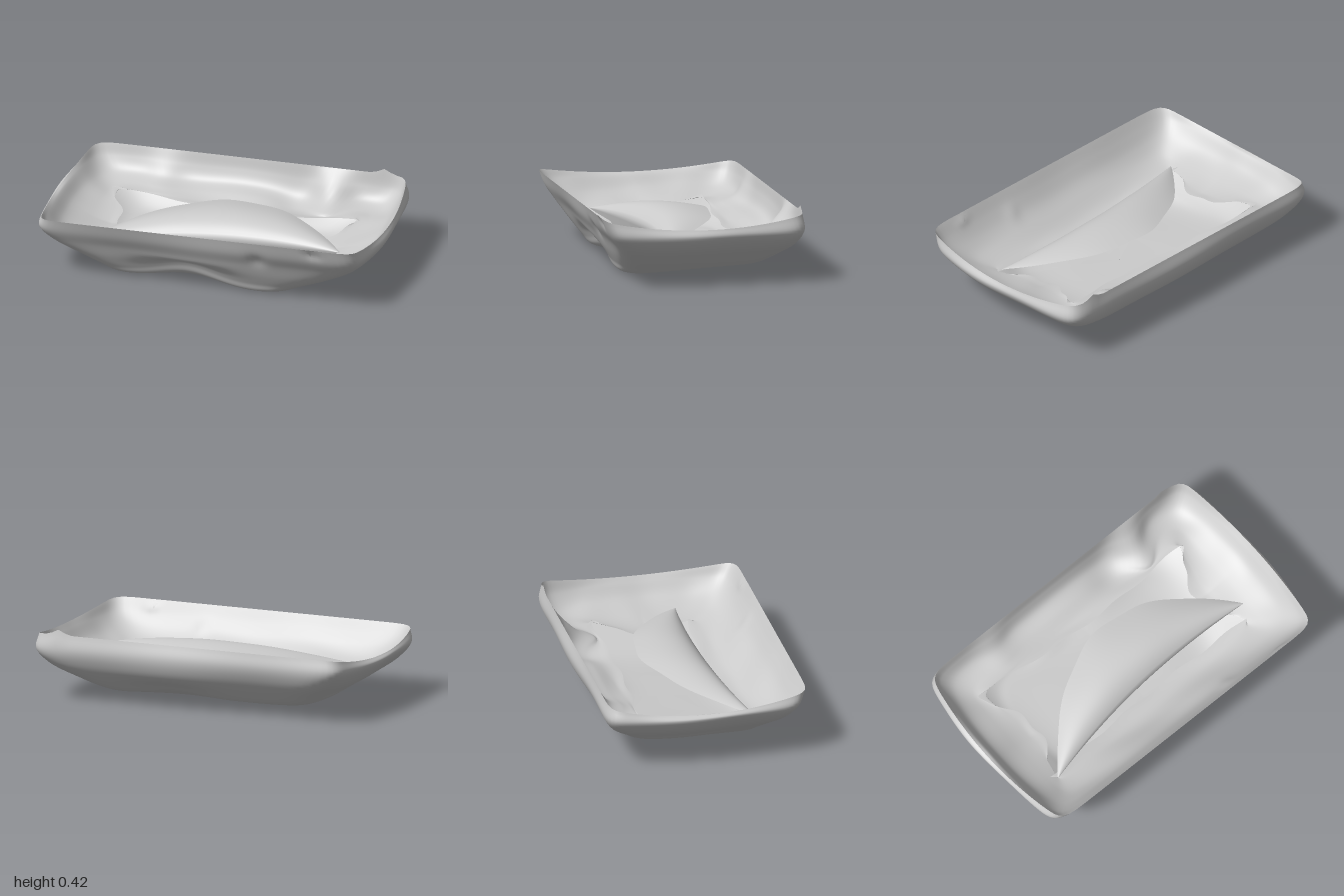
import * as THREE from 'three';

const SEG = 240, ROWS = 44;
const material = new THREE.MeshStandardMaterial({ color: 0xcccccc, side: THREE.DoubleSide });
const bump = (a, b, ca, cb, ra, rb) => Math.exp(-(((a - ca) / ra) ** 2) - ((b - cb) / rb) ** 2);
const lerp = THREE.MathUtils.lerp;

// Point on a rounded, unevenly sized rectangle; s gives left/right/front/back reach
function loopPoint(a, s) {
  const c = Math.cos(a), d = Math.sin(a), n = s.n ?? 14;
  const r = 1 / Math.pow(Math.abs(c) ** n + Math.abs(d) ** n, 1 / n);
  const u = c * r, w = d * r;
  const x = u * (u > 0 ? s.xr : -s.xl) * (1 - (s.bow ?? 0.06) * w * w);
  const z = w * (w > 0 ? s.zf : -s.zb) * (1 - (s.bowZ ?? 0) * u * u);
  return new THREE.Vector3(x, s.y(x, z, w), z);
}

// Indexed smooth grid
function gridMesh(name, cols, rows, wrap, pointAt) {
  const pos = [], idx = [];
  const across = wrap ? cols : cols + 1;
  for (let j = 0; j <= rows; j++)
    for (let i = 0; i < across; i++) pos.push(...pointAt(i, j).toArray());
  for (let j = 0; j < rows; j++)
    for (let i = 0; i < cols; i++) {
      const k = (i + 1) % across;
      const a = j * across + i, b = j * across + k;
      idx.push(a, b, a + across, b, b + across, a + across);
    }
  const g = new THREE.BufferGeometry();
  g.setAttribute('position', new THREE.Float32BufferAttribute(pos, 3));
  g.setIndex(idx);
  g.computeVertexNormals();
  const mesh = new THREE.Mesh(g, material);
  mesh.name = name;
  return mesh;
}

// Skin swept down through a list of loops, then dented by a rule
function skin(name, levels, dent) {
  const columns = [];
  for (let i = 0; i < SEG; i++) {
    const a = (i / SEG) * Math.PI * 2;
    columns.push(new THREE.CatmullRomCurve3(levels.map((s) => loopPoint(a, s)), false, 'centripetal'));
  }
  return gridMesh(name, SEG, ROWS, true, (i, j) => {
    const p = columns[i].getPoint(j / ROWS), v = j / ROWS;
    dent(p, v);
    // the upper walls are slightly skewed in plan
    p.z += 0.016 * p.x * (1 - v);
    return p;
  });
}

// Rim dips at the short ends and has a small peak at one back corner
const rimY = (x, z, w) => 0.33 + 0.055 * w * w + 0.01 * x + 0.03 * bump(x, z, 0.79, -0.57, 0.04, 0.08);
const rim = { xl: -0.98, xr: 0.985, zf: 0.582, zb: -0.575, n: 22, y: rimY };
const level = (y, xl, xr, zf, zb, extra = {}) => ({ xl, xr, zf, zb, y: () => y, ...extra });
const tilted = (y) => (x, z) => y + 0.06 * Math.max(0, 0.3 - z) + 0.02 * Math.max(0, -x);

// Two small pits in the front wall
const wallPits = (p) => p.z < 0.3 ? 0 :
  bump(p.x, p.y, 0.35, 0.26, 0.045, 0.045) + bump(p.x, p.y, 0.69, 0.35, 0.035, 0.03);

function outerShell() {
  const levels = [
    rim,
    level(0.3, -1, 1, 0.548, -0.588, { n: 18 }),
    level(0.22, -0.94, 0.94, 0.5, -0.56),
    level(0.13, -0.8, 0.79, 0.455, -0.49, { n: 10 }),
    level(0.06, -0.68, 0.63, 0.415, -0.41, { n: 9 }),
    level(0, -0.6, 0.47, 0.38, -0.36, { n: 8, y: tilted(0.004) }),
    level(0, -0.3, 0.23, 0.19, -0.18, { n: 4, y: tilted(0.002) }),
    level(0, -0.002, 0.002, 0.002, -0.002, { n: 2, y: tilted(0.002) }),
  ];
  return skin('outerShell', levels, (p, v) => {
    const k = Math.sin(Math.PI * v), low = THREE.MathUtils.smoothstep(0.2 - p.y, 0, 0.12);
    p.z -= 0.012 * wallPits(p);
    p.z += 0.01 * k * Math.sin(6 * p.x + 1) * Math.sign(p.z) * Math.min(1, Math.abs(p.z) * 3);
    p.x += 0.01 * k * Math.sin(9 * p.z) * Math.min(1, Math.abs(p.x));
    // hollows along the lower front and back edges
    const front = low * bump(p.x, p.z, -0.1, 0.42, 0.24, 0.13);
    const back = low * bump(p.x, p.z, 0.15, -0.42, 0.25, 0.13);
    p.y += 0.06 * front + 0.035 * back;
    p.z += 0.02 * back - 0.03 * front;
    // groove under the back of the base
    p.y += 0.012 * bump(p.x, p.z, -0.23, -0.35, 0.13, 0.025);
    p.y = Math.max(0, p.y);
  });
}

// Inner lining, ending in a ragged torn edge above the base
function innerLining() {
  const levels = [
    rim,
    level(0.31, -0.96, 0.96, 0.54, -0.56, { n: 18 }),
    level(0.24, -0.9, 0.9, 0.49, -0.525),
    level(0, -0.79, 0.79, 0.425, -0.44, { bow: 0.02, y: (x, z) => 0.185 - 0.05 * Math.min(z, 0) }),
    level(0, -0.68, 0.66, 0.33, -0.36, {
      bow: -0.1, y: (x, z) => 0.125 + 0.06 * x * x - 0.15 * Math.min(z, 0),
    }),
    level(0, -0.62, 0.58, 0.23, -0.3, {
      bow: -0.3, bowZ: -0.16, n: 20,
      y: (x, z) => 0.11 + 0.1 * x * x - 0.22 * Math.min(z, 0) * (1 - 0.7 * x * x),
    }),
  ];
  return skin('innerLining', levels, (p, v) => {
    const k = Math.sin(Math.PI * v);
    p.z -= 0.008 * wallPits(p);
    // folds across the back wall
    p.z += 0.12 * k * bump(p.x, p.z, 0.5, -0.48, 0.1, 0.16);
    p.z += 0.04 * k * bump(p.x, p.z, -0.5, -0.5, 0.1, 0.12);
    p.y -= 0.03 * k * bump(p.x, p.z, 0.3, -0.45, 0.12, 0.12);
    p.y += 0.005 * k * Math.sin(11 * p.x + 2 * Math.sin(9 * p.z));
    // ragged edge, slanting across the back
    const rag = Math.max(0, v - 0.75) * 4;
    p.x += 0.012 * rag * Math.sin(31 * p.z + p.x);
    p.z += rag * (0.008 * Math.sin(17 * p.x + 1) + 0.045 * p.x * Math.min(1, Math.max(0, -4 * p.z)));
  });
}

// Crescent sheet: free arched back edge, raised crown, steep drop at the front
function crescentFlap() {
  const cols = 60, rows = 28, lip = 4;
  return gridMesh('crescentFlap', cols, rows, false, (i, j) => {
    const u = i / cols, s = 2 * u - 1, arch = 1 - s * s;
    const ends = lerp(0.3, 0.2, u);
    const back = ends - 0.45 * arch + 0.008 * Math.sin(24 * u) * arch;
    const front = ends - 0.06 * arch;
    const v = Math.min(1, j / (rows - lip)), tuck = Math.max(0, j - (rows - lip)) / lip;
    const top = lerp(0.17, 0.22, u) + 0.09 * arch;
    return new THREE.Vector3(
      lerp(-0.73, 0.75, u),
      top + arch * (0.025 * Math.sin(Math.PI * v) - 0.07 * v ** 7) - 0.12 * tuck * arch,
      lerp(back, front, v) - 0.03 * tuck * arch
    );
  });
}

export function createModel() {
  const group = new THREE.Group();
  group.name = 'crumpledTray';
  group.add(outerShell(), innerLining(), crescentFlap());
  return group;
}
